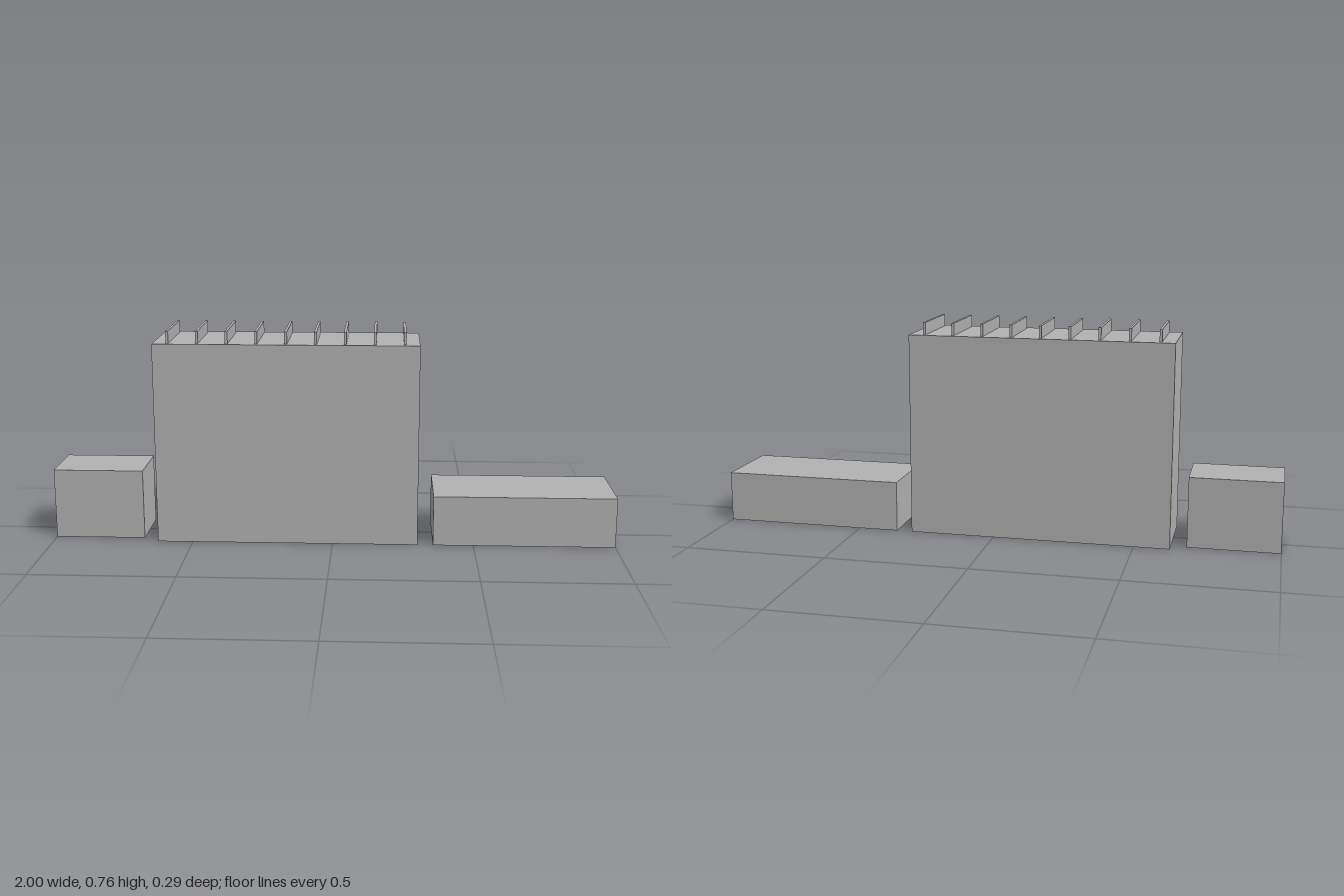
import * as THREE from 'three';

export function createModel() {
  const model = new THREE.Group();
  model.name = 'buildingMassing';

  const grey = new THREE.MeshStandardMaterial({ color: 0xb2b2b2 });
  grey.name = 'plain grey';

  // Box from its x and y extents and its full depth, centred on z = 0
  function block(name, x0, x1, y0, y1, depth, parent = model) {
    const mesh = new THREE.Mesh(new THREE.BoxGeometry(x1 - x0, y1 - y0, depth), grey);
    mesh.position.set((x0 + x1) / 2, (y0 + y1) / 2, 0);
    mesh.name = name;
    parent.add(mesh);
  }

  // Three separate blocks standing in a row
  block('smallBlock', -1, -0.68, 0, 0.25, 0.214);
  block('mainBlock', -0.625, 0.302, 0, 0.715, 0.286);
  block('lowBlock', 0.357, 1, 0, 0.179, 0.286);

  // Row of thin upright fins on the main roof
  const fins = new THREE.Group();
  fins.name = 'roofFins';
  model.add(fins);
  const count = 9, first = -0.574, spacing = 0.103, thickness = 0.009;
  for (let i = 0; i < count; i++) {
    const x = first + i * spacing;
    block('roofFin', x - thickness / 2, x + thickness / 2, 0.715, 0.758, 0.25, fins);
  }

  return model;
}
